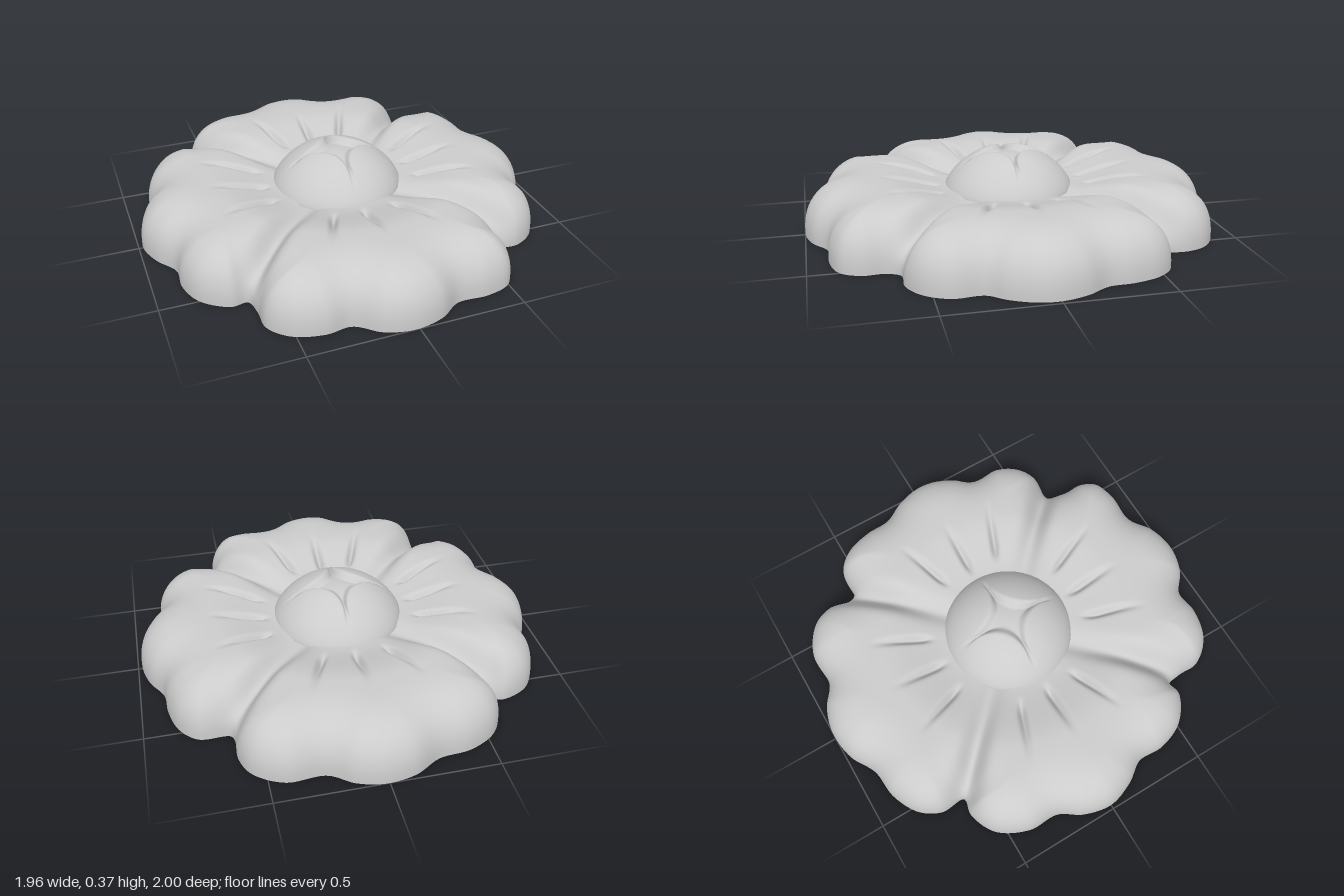
import * as THREE from 'three';

// Outline of each petal as [x, z] points, running from the +x side towards +z
const OUTLINE = [
  // left petal (+x)
  [0.62, -0.57], [0.76, -0.56], [0.84, -0.48], [0.88, -0.35], [0.89, -0.23], [0.95, -0.12], [0.98, 0],
  [0.97, 0.1], [0.92, 0.21], [0.86, 0.29], [0.86, 0.43], [0.8, 0.54], [0.7, 0.6],
  // front petal (+z)
  [0.585, 0.605], [0.55, 0.67], [0.55, 0.77], [0.5, 0.86], [0.38, 0.9], [0.23, 0.9], [0.12, 0.97], [-0.02, 1],
  [-0.15, 0.97], [-0.26, 0.89], [-0.38, 0.9], [-0.52, 0.86], [-0.6, 0.77], [-0.605, 0.66],
  // right petal (-x)
  [-0.625, 0.58], [-0.7, 0.585], [-0.82, 0.5], [-0.87, 0.37], [-0.87, 0.24], [-0.94, 0.13], [-0.98, 0],
  [-0.95, -0.14], [-0.885, -0.25], [-0.88, -0.4], [-0.8, -0.55], [-0.67, -0.61],
  // back petal (-z)
  [-0.59, -0.6], [-0.59, -0.72], [-0.53, -0.82], [-0.4, -0.89], [-0.25, -0.91], [-0.12, -0.98], [0.02, -1],
  [0.14, -0.97], [0.25, -0.9], [0.43, -0.9], [0.56, -0.82], [0.605, -0.72], [0.605, -0.6],
];

const { smoothstep } = THREE.MathUtils;

function smoothOutline(count) {
  const curve = new THREE.CatmullRomCurve3(OUTLINE.map(([x, z]) => new THREE.Vector3(x, 0, z)), true);
  return curve.getSpacedPoints(count).slice(0, count).map((p) => new THREE.Vector2(p.x, p.z));
}

// Distance from (x, z) to the closed outline
function edgeDistance(x, z, pts) {
  let best = Infinity;
  for (let i = 0; i < pts.length; i++) {
    const a = pts[i], b = pts[(i + 1) % pts.length];
    const dx = b.x - a.x, dz = b.y - a.y;
    const t = THREE.MathUtils.clamp(((x - a.x) * dx + (z - a.y) * dz) / (dx * dx + dz * dz), 0, 1);
    best = Math.min(best, (x - a.x - t * dx) ** 2 + (z - a.y - t * dz) ** 2);
  }
  return Math.sqrt(best);
}

// Concentric rings from an outline in to radius inner, raised by height(x, z)
function reliefSurface(pts, inner, rings, height) {
  const n = pts.length, pos = [], index = [];
  for (let i = 0; i <= rings; i++) {
    const s = (i / rings) ** 2; // finer near the steep rim
    for (const p of pts) {
      const outer = p.length(), r = outer + (inner - outer) * s;
      const x = (p.x / outer) * r, z = (p.y / outer) * r;
      pos.push(x, height(x, z), z);
    }
  }
  for (let i = 0; i < rings; i++) {
    for (let j = 0; j < n; j++) {
      const a = i * n + j, b = i * n + ((j + 1) % n), c = a + n, d = b + n;
      index.push(a, c, b, b, c, d);
    }
  }
  const geo = new THREE.BufferGeometry();
  geo.setAttribute('position', new THREE.Float32BufferAttribute(pos, 3));
  geo.setIndex(index);
  geo.computeVertexNormals();
  return geo;
}

// Three short tapered veins per petal; (u, v) runs along and across the petal
function veinDepth(x, z) {
  const along = Math.abs(x) > Math.abs(z);
  const u = Math.abs(along ? x : z), v = Math.abs(along ? z : x);
  const taper = smoothstep(u, 0.33, 0.42) * (1 - smoothstep(u, 0.42, 0.66));
  const sideLine = 0.14 + (u - 0.34) * 0.38;
  const groove = (d, w) => Math.exp(-((d / w) ** 2));
  return 0.035 * taper * (groove(v, 0.018) + groove(v - sideLine, 0.018));
}

// Rounded rim, dished centre, diagonal valleys between petals
function petalHeight(x, z, pts) {
  const r = Math.hypot(x, z);
  const u = Math.max(0, 1 - edgeDistance(x, z, pts) / 0.3);
  const rim = Math.max(0, 1 - u ** 2.5) ** 0.4;
  const top = 0.2 + 0.063 * smoothstep(r, 0.28, 0.62);
  const across = Math.abs(Math.abs(x) - Math.abs(z)) / Math.SQRT2;
  const valley = (0.03 + 0.07 * smoothstep(r, 0.3, 0.75)) * Math.exp(-((across / 0.055) ** 2));
  return Math.max(0, rim * (top - valley - veinDepth(x, z)));
}

// Domed centre with a sunken four-pointed star
function domeHeight(x, z) {
  const r = Math.hypot(x, z);
  const dome = 0.185 + 0.2 * Math.max(0, 1 - (r / 0.315) ** 2) ** 0.72;
  const q = Math.sqrt(Math.abs(x)) + Math.sqrt(Math.abs(z));
  return dome - 0.036 * (1 - smoothstep(q, 0.38, 0.53));
}

export function createModel() {
  const group = new THREE.Group();
  const material = new THREE.MeshStandardMaterial({ color: 0xcccccc });
  const add = (name, geo) => {
    const mesh = new THREE.Mesh(geo, material);
    mesh.name = name;
    group.add(mesh);
  };

  const outline = smoothOutline(520);
  add('petals', reliefSurface(outline, 0.25, 80, (x, z) => petalHeight(x, z, outline)));

  const circle = Array.from({ length: 160 }, (_, i) => {
    const a = (i / 160) * Math.PI * 2;
    return new THREE.Vector2(Math.cos(a), Math.sin(a)).multiplyScalar(0.315);
  });
  const dome = reliefSurface(circle, 0.0005, 60, domeHeight);
  add('centreDome', dome);

  // Flat underside
  add('base', new THREE.ShapeGeometry(new THREE.Shape(outline)).rotateX(Math.PI / 2));
  return group;
}
